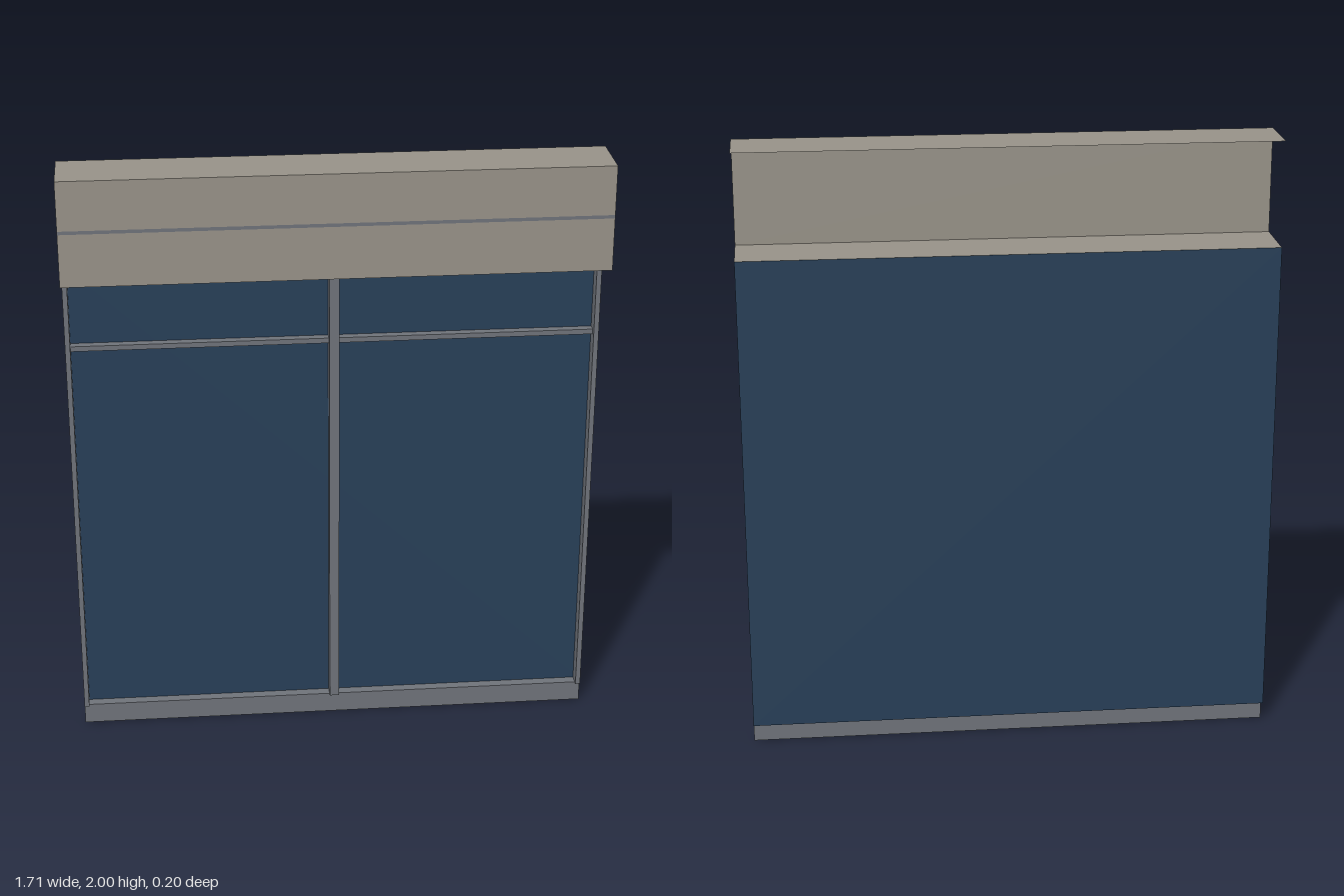
import * as THREE from 'three';

const HALF = 0.857;                   // half width of the bay
const BACK = -0.1, FRAME = -0.053;    // glass plane and frame face
const SILL = 0.07, HEAD = 1.66, TOP = 2;

const material = (color) => new THREE.MeshStandardMaterial({ color, side: THREE.DoubleSide });

// Folded sheet: an open profile swept straight from t0 to t1
function sheet(name, mat, profile, t0, t1, place) {
  const pos = [];
  for (let i = 0; i + 1 < profile.length; i++) {
    const [p, q] = [profile[i], profile[i + 1]];
    const [a, b, c, d] = [place(p, t0), place(q, t0), place(q, t1), place(p, t1)];
    pos.push(...a, ...b, ...c, ...a, ...c, ...d);
  }
  const geo = new THREE.BufferGeometry();
  geo.setAttribute('position', new THREE.Float32BufferAttribute(pos, 3));
  geo.computeVertexNormals();
  const mesh = new THREE.Mesh(geo, mat);
  mesh.name = name;
  return mesh;
}

// Profile given as [z, y], running across the full width
const across = (name, mat, profile) =>
  sheet(name, mat, profile, -HALF, HALF, ([z, y], x) => [x, y, z]);

// Profile given as [x, z], running up from sill to head
const upright = (name, mat, profile) =>
  sheet(name, mat, profile, SILL, HEAD, ([x, z], y) => [x, y, z]);

export function createModel() {
  const group = new THREE.Group();
  group.name = 'windowBay';
  const stone = material(0x99948a);
  const metal = material(0x70747b);
  const glass = material(0x284059);

  // Projecting spandrel, open at the back and ends
  group.add(across('spandrel', stone, [[BACK, TOP], [0.1, TOP], [0.1, HEAD], [BACK, HEAD]]));
  group.add(across('spandrelJoint', metal, [[0.101, 1.842], [0.101, 1.831]]));

  // Glazing
  group.add(across('glass', glass, [[BACK, HEAD], [BACK, SILL]]));

  // Sill ledge with its downstand
  group.add(across('sill', metal, [[BACK, SILL], [-0.067, SILL], [-0.067, 0]]));

  // Shallow transom bar
  group.add(across('transom', metal, [[BACK, 1.393], [-0.072, 1.393], [-0.072, 1.376], [BACK, 1.376]]));

  // Centre mullion, and half mullions open towards the neighbouring bays
  const w = 0.016, inner = HALF - w;
  group.add(upright('centreMullion', metal, [[-w, BACK], [-w, FRAME], [w, FRAME], [w, BACK]]));
  group.add(upright('leftJamb', metal, [[inner, BACK], [inner, FRAME], [HALF, FRAME]]));
  group.add(upright('rightJamb', metal, [[-HALF, FRAME], [-inner, FRAME], [-inner, BACK]]));

  return group;
}
